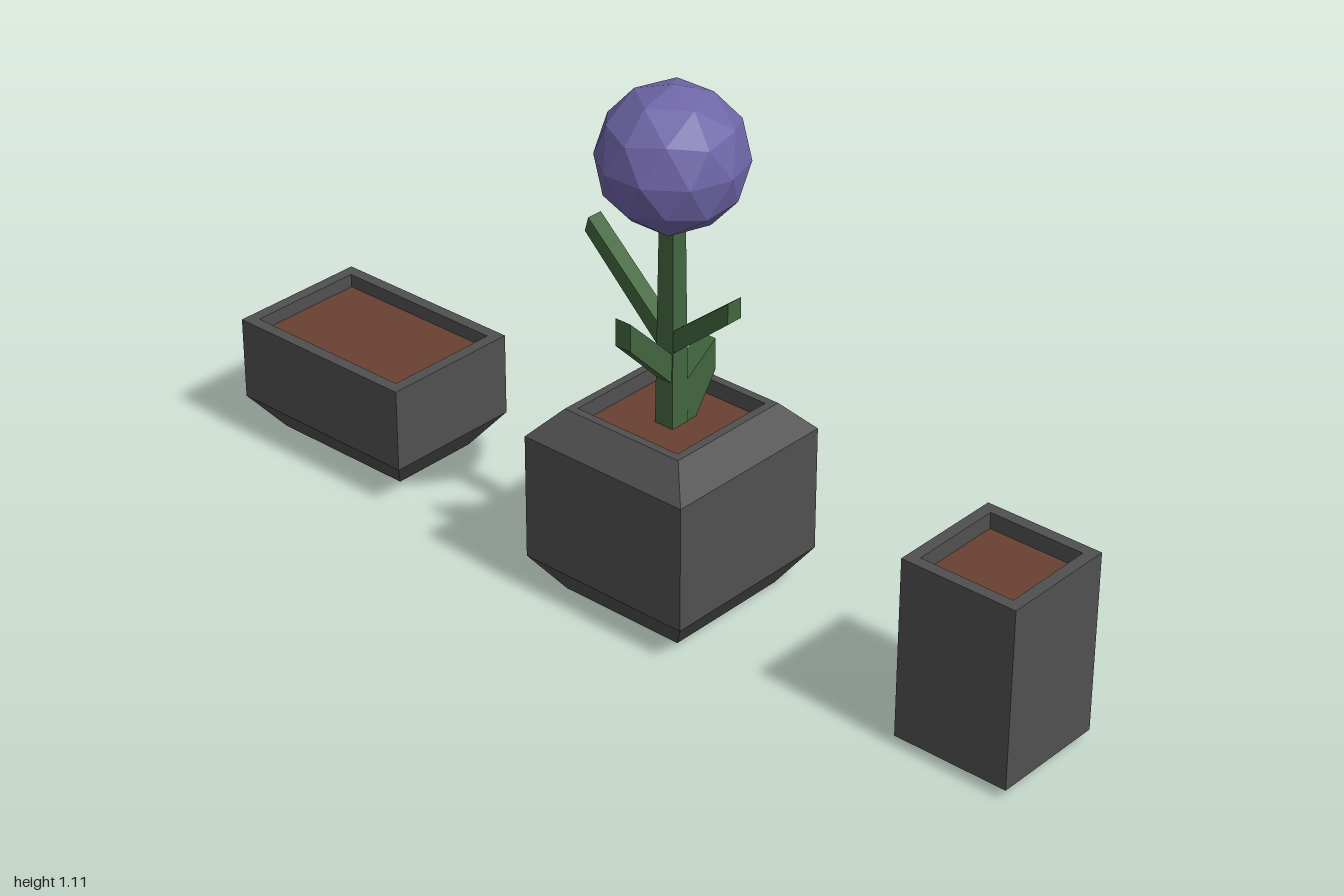
import * as THREE from 'three';

const paint = (color) => new THREE.MeshStandardMaterial({ color, flatShading: true, side: THREE.DoubleSide });
const potPaint = paint(0x505050);
const soilPaint = paint(0x6a4032);
const leafPaint = paint(0x42663f);
const bloomPaint = paint(0x6f66a8);

function addMesh(parent, name, geometry, material) {
  const mesh = new THREE.Mesh(geometry, material);
  mesh.name = name;
  parent.add(mesh);
  return mesh;
}

// Skin a stack of rectangular rings, each [half width, half depth, height]
function loftRings(rings) {
  const corners = [[1, 1], [1, -1], [-1, -1], [-1, 1]];
  const at = ([w, d, y], i) => [corners[i % 4][0] * w, y, corners[i % 4][1] * d];
  const positions = [];
  for (let r = 0; r < rings.length - 1; r++) {
    for (let i = 0; i < 4; i++) {
      const a = at(rings[r], i), b = at(rings[r], i + 1);
      const c = at(rings[r + 1], i + 1), d = at(rings[r + 1], i);
      if (rings[r][0] > 0) positions.push(...a, ...b, ...c);
      positions.push(...a, ...c, ...d);
    }
  }
  const geometry = new THREE.BufferGeometry();
  geometry.setAttribute('position', new THREE.Float32BufferAttribute(positions, 3));
  geometry.computeVertexNormals();
  return geometry;
}

// Planter: closed bottom, outer walls, flat rim, inner walls down to the soil
function createPlanter(name, z, outer, rim, recess) {
  const planter = new THREE.Group();
  planter.name = name;
  planter.position.z = z;
  const [w, d, top] = outer[outer.length - 1];
  const iw = w - rim, id = d - rim, soilY = top - recess;
  const rings = [[0, 0, outer[0][2]], ...outer, [iw, id, top], [iw, id, soilY]];
  addMesh(planter, 'pot', loftRings(rings), potPaint);
  const soil = new THREE.PlaneGeometry(iw * 2, id * 2).rotateX(-Math.PI / 2);
  addMesh(planter, 'soil', soil, soilPaint).position.y = soilY;
  return planter;
}

// Leaf outline in (distance from stem, height), thickened and turned about the stem
function addLeaf(parent, name, outline, angle, thickness = 0.038) {
  const shape = new THREE.Shape(outline.map(([x, y]) => new THREE.Vector2(x, y)));
  const geometry = new THREE.ExtrudeGeometry(shape, { depth: thickness, bevelEnabled: false });
  geometry.translate(0, 0, -thickness / 2).rotateY(angle);
  addMesh(parent, name, geometry, leafPaint);
}

function createFlower() {
  const flower = new THREE.Group();
  flower.name = 'flower';
  // Square tapered stem
  const stem = [[0, 0, 0.375], [0.023, 0.023, 0.375], [0.018, 0.018, 0.84]];
  addMesh(flower, 'stem', loftRings(stem), leafPaint);
  // Four leaves, one to each side
  addLeaf(flower, 'leftLeaf', [[0, 0.375], [0.045, 0.375], [0.105, 0.46], [0.105, 0.53], [0, 0.458]], 0, 0.042);
  addLeaf(flower, 'rightLeaf', [[0, 0.46], [0.14, 0.60], [0.14, 0.66], [0, 0.525]], Math.PI);
  addLeaf(flower, 'frontLeaf', [[0, 0.53], [0.157, 0.66], [0.157, 0.705], [0, 0.58]], -Math.PI / 2);
  addLeaf(flower, 'backLeaf', [[0, 0.53], [0.21, 0.733], [0.201, 0.765], [0, 0.58]], Math.PI / 2, 0.036);
  // Faceted ball with a corner straight up
  const bloom = new THREE.IcosahedronGeometry(0.15, 1).rotateZ(Math.atan(2 / (1 + Math.sqrt(5))));
  addMesh(flower, 'bloom', bloom, bloomPaint).position.y = 0.955;
  return flower;
}

export function createModel() {
  const model = new THREE.Group();
  model.name = 'planters';

  // Middle pot, bevelled at top and bottom, holding the flower
  const middle = createPlanter('flowerPot', 0.067, [
    [0.147, 0.147, 0], [0.203, 0.203, 0.08], [0.203, 0.203, 0.355], [0.147, 0.147, 0.415],
  ], 0.018, 0.035);
  middle.add(createFlower());

  // Tall straight pot in front
  const tall = createPlanter('tallPot', 0.87, [[0.13, 0.13, 0.02], [0.13, 0.13, 0.412]], 0.025, 0.035);

  // Long low trough behind
  const trough = createPlanter('longPot', -0.77, [
    [0.102, 0.172, 0.018], [0.16, 0.23, 0.095], [0.16, 0.23, 0.28],
  ], 0.026, 0.03);

  model.add(middle, tall, trough);
  return model;
}
